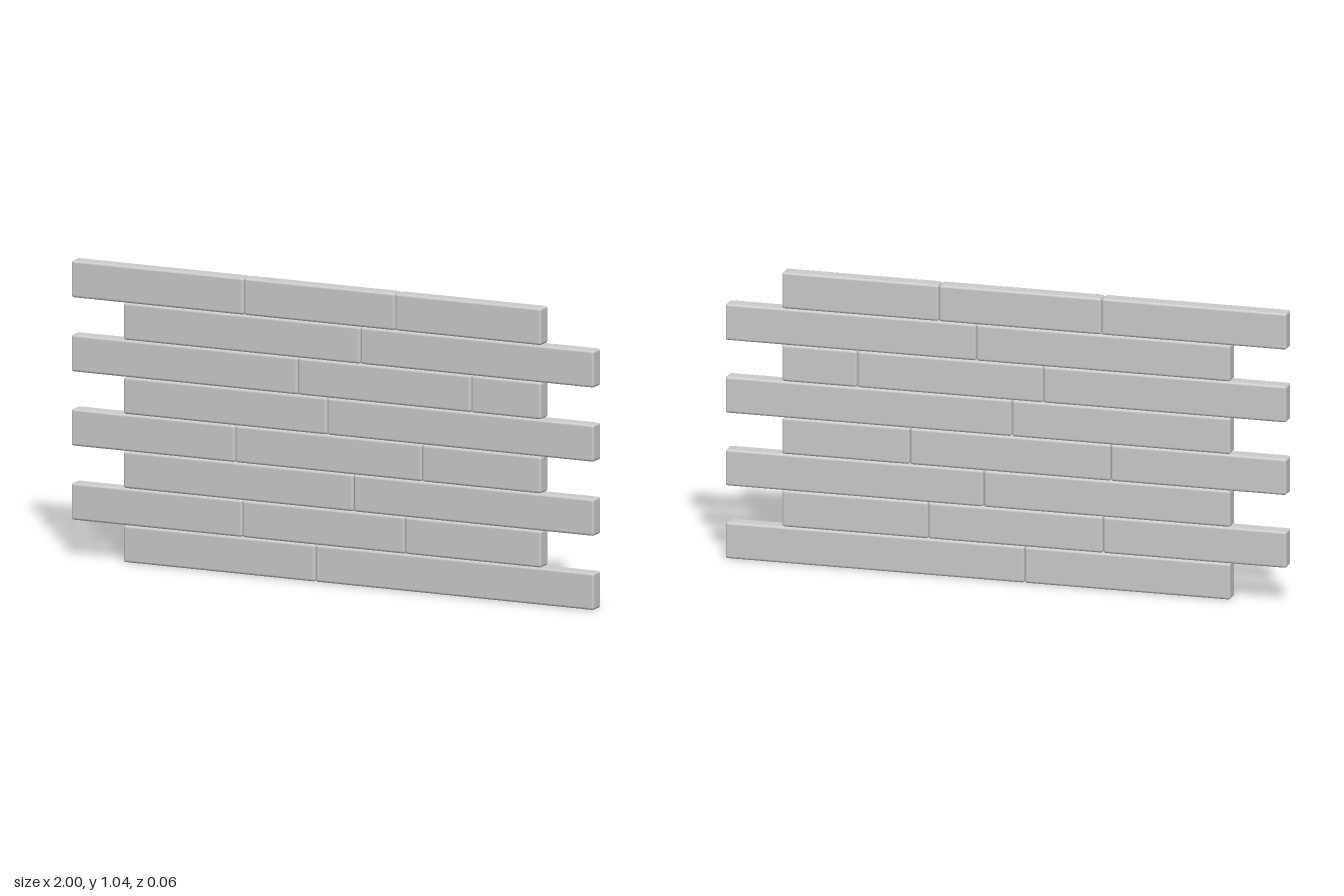
import * as THREE from 'three';
import { RoundedBoxGeometry } from 'three/addons/geometries/RoundedBoxGeometry.js';

const ROW_HEIGHT = 0.1294;
const DEPTH = 0.058;
const GAP = 0.002;
const BEVEL = 0.009;

// Brick joints along x for each course, from the bottom up
const COURSES = [
  [-0.8, -0.066, 1],
  [-1, -0.346, 0.277, 0.798],
  [-0.8, 0.08, 1],
  [-1, -0.373, 0.342, 0.798],
  [-0.8, -0.021, 1],
  [-1, -0.133, 0.53, 0.798],
  [-0.8, 0.106, 1],
  [-1, -0.34, 0.239, 0.798],
];

export function createModel() {
  const wall = new THREE.Group();
  wall.name = 'brickWall';
  const material = new THREE.MeshStandardMaterial({ color: 0xcccccc });

  COURSES.forEach((joints, row) => {
    const course = new THREE.Group();
    course.name = `course${row + 1}`;
    course.position.y = (row + 0.5) * ROW_HEIGHT;

    // One soft-edged brick between each pair of joints
    for (let i = 0; i < joints.length - 1; i++) {
      const left = joints[i] + (i > 0 ? GAP / 2 : 0);
      const right = joints[i + 1] - (i < joints.length - 2 ? GAP / 2 : 0);
      const geometry = new RoundedBoxGeometry(right - left, ROW_HEIGHT, DEPTH, 2, BEVEL);
      const brick = new THREE.Mesh(geometry, material);
      brick.name = `brick${row + 1}_${i + 1}`;
      brick.position.x = (left + right) / 2;
      course.add(brick);
    }
    wall.add(course);
  });
  return wall;
}
